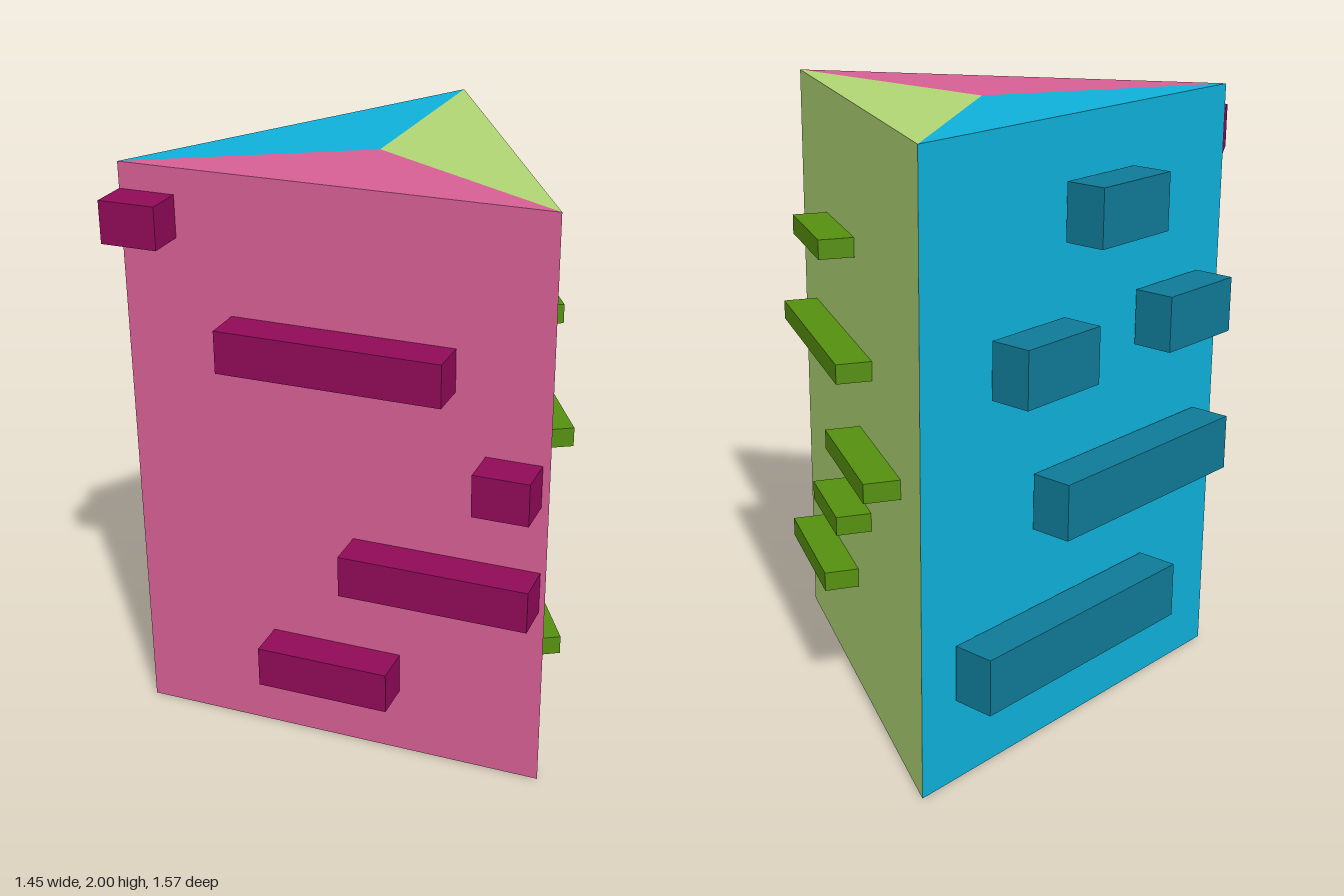
import * as THREE from 'three';

const L = 1.449, H = 2;                 // side length and height of the prism
const APOTHEM = L / (2 * Math.sqrt(3));
const CENTRE = [-0.164, -0.06];         // prism axis (x, z)

// Each side: turn about the axis, colours, ledge depth, gap to the wall,
// ledges as [start, end, bottom, top] measured along and up the wall
const SIDES = [
  {
    name: 'front', angle: Math.PI / 6, wall: 0xd65f94, ledge: 0x900a58, depth: 0.135, gap: 0,
    ledges: [
      [0, 0.193, 1.77, 1.912], [0.376, 1.135, 1.385, 1.53], [1.237, 1.424, 1.035, 1.18],
      [0.786, 1.43, 0.655, 0.8], [0.486, 0.951, 0.237, 0.381],
    ],
  },
  {
    name: 'back', angle: Math.PI * 5 / 6, wall: 0xb0d574, ledge: 0x558f0f, depth: 0.115, gap: 0,
    ledges: [
      [0.352, 0.722, 1.513, 1.577], [0.164, 0.921, 1.167, 1.231], [0.752, 1.24, 0.897, 0.96],
      [0.553, 0.879, 0.643, 0.706], [0.204, 0.692, 0.363, 0.428],
    ],
  },
  {
    name: 'right', angle: -Math.PI / 2, wall: 0x0fb0d8, ledge: 0x0f7a96, depth: 0.138, gap: 0.01,
    ledges: [
      [0.625, 0.95, 1.62, 1.805], [0.985, 1.315, 1.22, 1.402], [0.295, 0.625, 1.205, 1.388],
      [0.492, 1.33, 0.733, 0.917], [0.14, 1.06, 0.28, 0.465],
    ],
  },
];

// One third of the prism: outer wall plus its slice of the top and bottom
function wedgeGeometry() {
  const w = L / 2, a = APOTHEM;
  const corners = [
    -w, 0, a, w, 0, a, w, H, a, -w, H, a,   // wall
    -w, H, a, w, H, a, 0, H, 0,             // top slice
    w, 0, a, -w, 0, a, 0, 0, 0,             // bottom slice
  ];
  const geo = new THREE.BufferGeometry();
  geo.setAttribute('position', new THREE.Float32BufferAttribute(corners, 3));
  geo.setIndex([0, 1, 2, 0, 2, 3, 4, 5, 6, 7, 8, 9]);
  geo.computeVertexNormals();
  return geo;
}

export function createModel() {
  const model = new THREE.Group();
  model.name = 'triangularTower';
  const wedge = wedgeGeometry();

  for (const side of SIDES) {
    const group = new THREE.Group();
    group.name = side.name + 'Side';
    group.position.set(CENTRE[0], 0, CENTRE[1]);
    group.rotation.y = side.angle;

    const wall = new THREE.Mesh(wedge, new THREE.MeshStandardMaterial({ color: side.wall }));
    wall.name = side.name + 'Wall';
    group.add(wall);

    // Ledges standing out from the wall
    const material = new THREE.MeshStandardMaterial({ color: side.ledge });
    side.ledges.forEach(([s0, s1, y0, y1], i) => {
      const ledge = new THREE.Mesh(new THREE.BoxGeometry(s1 - s0, y1 - y0, side.depth), material);
      ledge.name = side.name + 'Ledge' + (i + 1);
      ledge.position.set((s0 + s1) / 2 - L / 2, (y0 + y1) / 2, APOTHEM + side.gap + side.depth / 2);
      group.add(ledge);
    });
    model.add(group);
  }
  return model;
}
